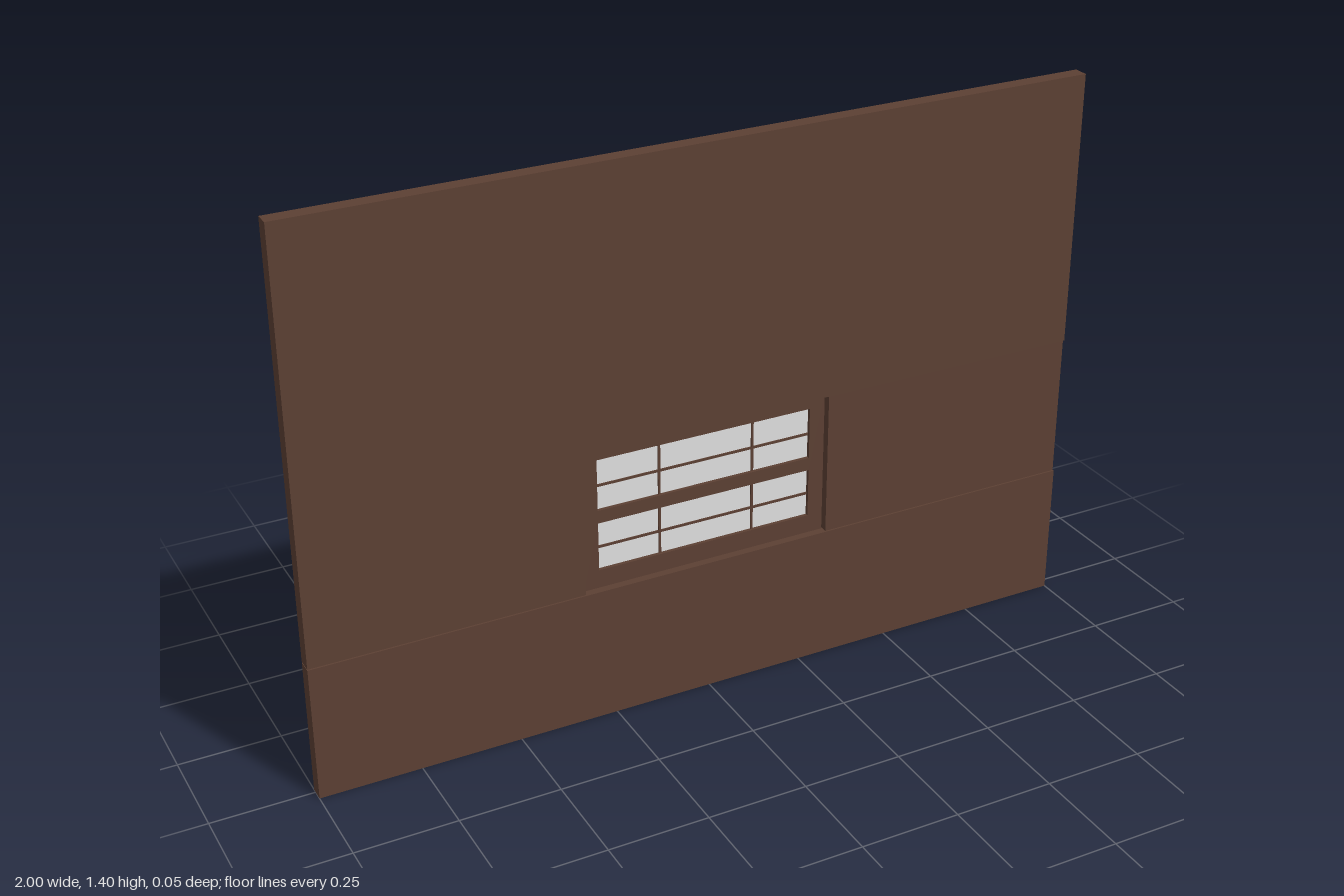
import * as THREE from 'three';

export function createModel() {
  const wallBrown = new THREE.MeshStandardMaterial({ color: 0x5c4033 });
  wallBrown.name = 'wallBrown';
  const paneGrey = new THREE.MeshStandardMaterial({ color: 0xe0e0e0 });
  paneGrey.name = 'paneGrey';
  const curtainBeige = new THREE.MeshStandardMaterial({ color: 0xc4bca5 });
  curtainBeige.name = 'curtainBeige';

  const model = new THREE.Group();
  model.name = 'wallWithWindow';

  // box given by its limits on each axis
  const block = (name, mat, x0, x1, y0, y1, z0, z1) => {
    const mesh = new THREE.Mesh(new THREE.BoxGeometry(x1 - x0, y1 - y0, z1 - z0), mat);
    mesh.position.set((x0 + x1) / 2, (y0 + y1) / 2, (z0 + z1) / 2);
    mesh.name = name;
    model.add(mesh);
  };

  // wall slabs around the opening, with narrow seams between them
  const back = -0.011, front = 0.027;
  block('lowerWall', wallBrown, -1, 1, 0, 0.345, back, front);
  block('upperWall', wallBrown, -1, 1, 0.714, 1.405, back, front);
  block('rightWall', wallBrown, -1, -0.324, 0.348, 0.714, back, front);
  block('leftWall', wallBrown, 0.32, 0.996, 0.348, 0.714, back, front);

  // recessed window frame with two openings
  const rect = (T, x0, x1, y0, y1) => {
    const s = new T();
    s.moveTo(x0, y0).lineTo(x1, y0).lineTo(x1, y1).lineTo(x0, y1).closePath();
    return s;
  };
  const sashes = [[0.392, 0.517], [0.55, 0.682]];
  const outline = rect(THREE.Shape, -0.32, 0.32, 0.343, 0.722);
  for (const [y0, y1] of sashes) outline.holes.push(rect(THREE.Path, -0.28, 0.28, y0, y1));
  const frame = new THREE.Mesh(
    new THREE.ExtrudeGeometry(outline, { depth: 0.021, bevelEnabled: false }), wallBrown);
  frame.position.z = -0.014;
  frame.name = 'windowFrame';
  model.add(frame);

  // panes and glazing bars
  for (const [y0, y1] of sashes) {
    block('pane', paneGrey, -0.28, 0.28, y0, y1, -0.006, -0.002);
    for (const x of [-0.118, 0.128])
      block('verticalBar', wallBrown, x - 0.003, x + 0.003, y0, y1, -0.009, 0.001);
    const y = (y0 + y1) / 2 - 0.004;
    block('horizontalBar', wallBrown, -0.28, 0.28, y - 0.003, y + 0.003, -0.009, 0.001);
  }

  // curtains: folded plan outline extruded upward, hung behind the window
  for (const side of [-1, 1]) {
    const plan = [[0.15, 0.015], [0.315, 0.015], [0.315, 0.019], [0.302, 0.028], [0.178, 0.028], [0.168, 0.019], [0.15, 0.019]];
    const shape = new THREE.Shape(plan.map(([x, d]) => new THREE.Vector2(side * x, d)));
    const geo = new THREE.ExtrudeGeometry(shape, { depth: 0.39, bevelEnabled: false });
    geo.rotateX(-Math.PI / 2);
    const curtain = new THREE.Mesh(geo, curtainBeige);
    curtain.position.y = 0.29;
    curtain.name = side > 0 ? 'leftCurtain' : 'rightCurtain';
    model.add(curtain);
  }
  return model;
}
